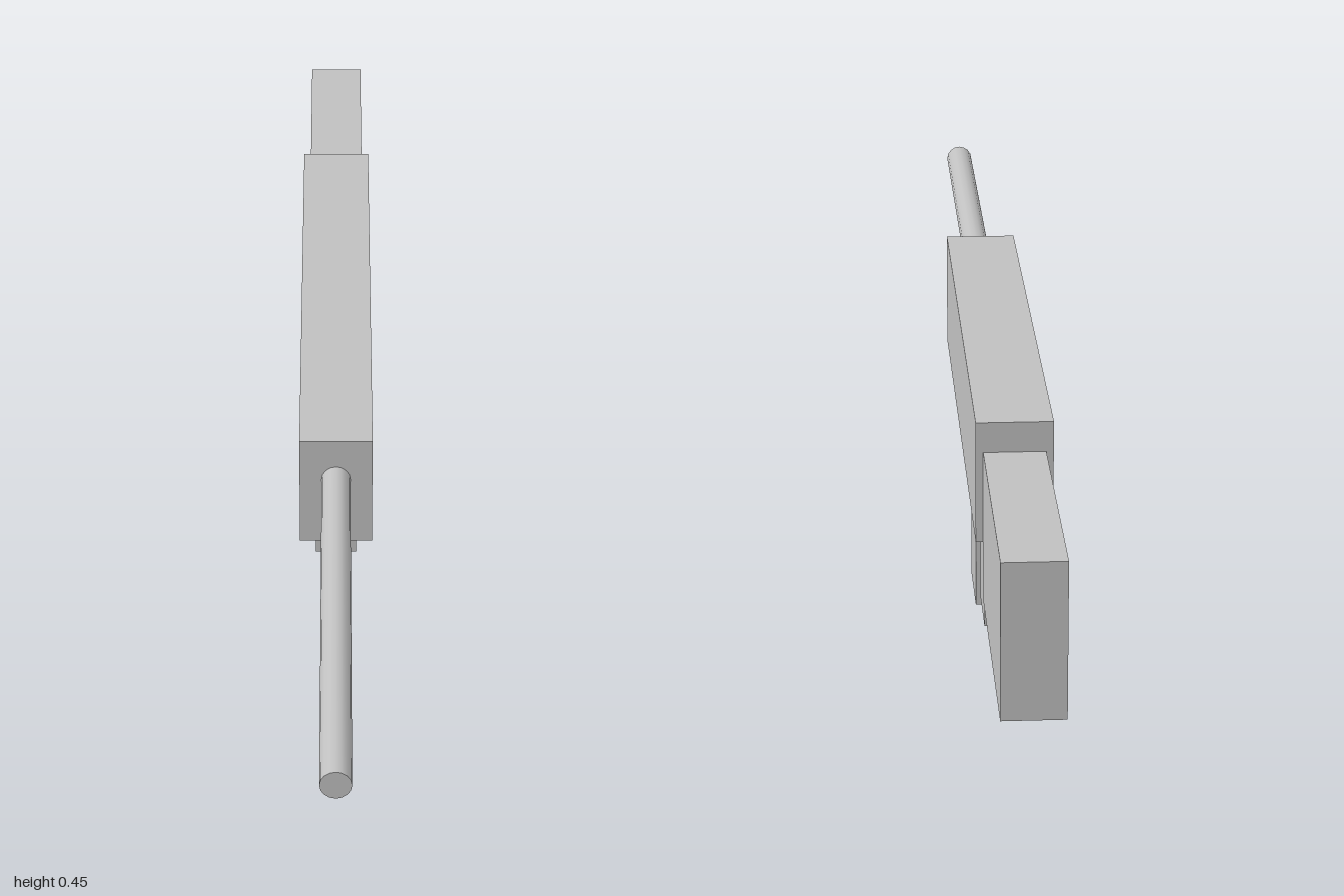
import * as THREE from 'three';

export function createModel() {
  const model = new THREE.Group();
  const grey = new THREE.MeshStandardMaterial({ color: 0xc0c0c0 });
  grey.name = 'light grey';

  // Box given by its width and its y and z extents, centred on x = 0
  function block(name, width, y0, y1, z0, z1) {
    const mesh = new THREE.Mesh(new THREE.BoxGeometry(width, y1 - y0, z1 - z0), grey);
    mesh.name = name;
    mesh.position.set(0, (y0 + y1) / 2, (z0 + z1) / 2);
    model.add(mesh);
  }

  block('body', 0.109, 0.268, 0.446, -0.6, 0.286);
  block('stock', 0.088, 0.179, 0.402, -1, -0.599);
  block('magazine', 0.067, 0, 0.268, -0.2, -0.066);
  block('grip', 0.067, 0.07, 0.268, -0.442, -0.334);

  // Round barrel running forward from the body
  const length = 0.716;
  const barrelGeometry = new THREE.CylinderGeometry(0.022, 0.022, length, 16);
  barrelGeometry.rotateX(Math.PI / 2);
  const barrel = new THREE.Mesh(barrelGeometry, grey);
  barrel.name = 'barrel';
  barrel.position.set(0, 0.379, 1 - length / 2);
  model.add(barrel);

  return model;
}
